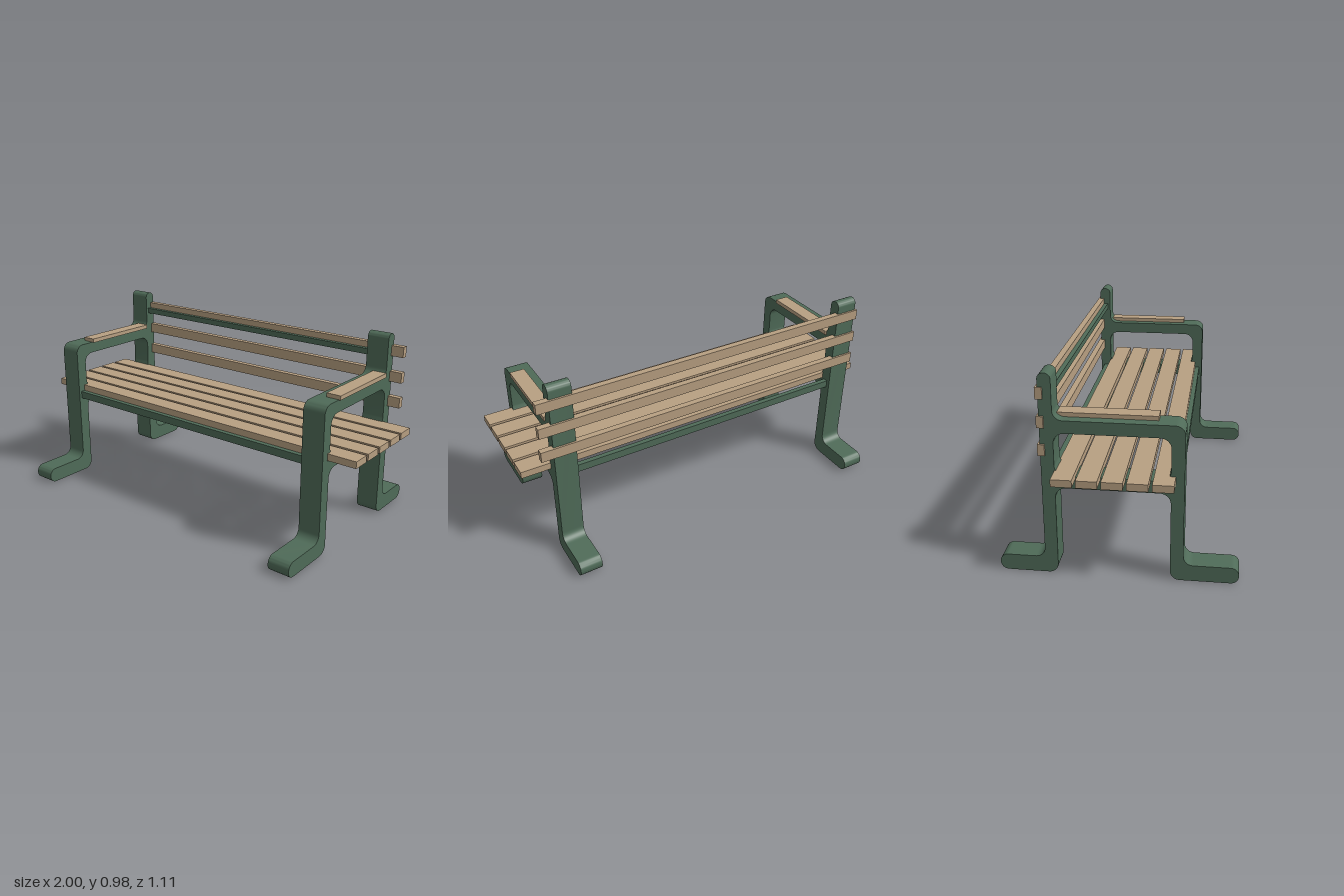
import * as THREE from 'three';
import { toCreasedNormals } from 'three/addons/utils/BufferGeometryUtils.js';

const iron = new THREE.MeshStandardMaterial({ color: 0x4f6b58 });
const wood = new THREE.MeshStandardMaterial({ color: 0xb8a082 });

// Closed path through corners [z, y, radius], each rounded by its radius
function roundedPath(path, corners) {
  const n = corners.length;
  const toward = (a, b) => {
    const d = Math.hypot(b[0] - a[0], b[1] - a[1]);
    return [a[0] + (b[0] - a[0]) / d * a[2], a[1] + (b[1] - a[1]) / d * a[2]];
  };
  const k = 0.5523;
  corners.forEach((c, i) => {
    const p = toward(c, corners[(i + n - 1) % n]);
    const q = toward(c, corners[(i + 1) % n]);
    if (i === 0) path.moveTo(...p);
    else path.lineTo(...p);
    path.bezierCurveTo(
      p[0] + (c[0] - p[0]) * k, p[1] + (c[1] - p[1]) * k,
      q[0] + (c[0] - q[0]) * k, q[1] + (c[1] - q[1]) * k, ...q);
  });
  path.closePath();
  return path;
}

// Cast side frame: feet, legs, seat bearer, armrest and back post in one piece
function sideFrameGeometry(width) {
  const outline = roundedPath(new THREE.Shape(), [
    [0.555, 0, 0.038], [0.555, 0.08, 0.038], [0.30, 0.08, 0.045],
    [0.30, 0.765, 0.045], [-0.28, 0.765, 0.045],
    [-0.28, 0.98, 0.028], [-0.34, 0.98, 0.028],
    [-0.34, 0.08, 0.045], [-0.555, 0.08, 0.038], [-0.555, 0, 0.038],
    [-0.28, 0, 0.045], [-0.28, 0.44, 0.05], [0.24, 0.44, 0.05], [0.24, 0, 0.045],
  ]);
  outline.holes.push(roundedPath(new THREE.Path(), [
    [-0.28, 0.50, 0.05], [0.24, 0.50, 0.05], [0.24, 0.705, 0.05], [-0.28, 0.705, 0.05],
  ]));
  const geo = new THREE.ExtrudeGeometry(outline, { depth: width, bevelEnabled: false, curveSegments: 8 });
  geo.translate(0, 0, -width / 2);
  geo.rotateY(-Math.PI / 2);
  return toCreasedNormals(geo, 0.6);
}

// Box given by its extents
function bar(name, material, [x0, x1], [y0, y1], [z0, z1]) {
  const mesh = new THREE.Mesh(new THREE.BoxGeometry(x1 - x0, y1 - y0, z1 - z0), material);
  mesh.position.set((x0 + x1) / 2, (y0 + y1) / 2, (z0 + z1) / 2);
  mesh.name = name;
  return mesh;
}

export function createModel() {
  const bench = new THREE.Group();
  bench.name = 'parkBench';

  // Side frames
  const frameGeo = sideFrameGeometry(0.115);
  for (const [name, x] of [['rightFrame', -0.8525], ['leftFrame', 0.7925]]) {
    const frame = new THREE.Mesh(frameGeo, iron);
    frame.position.x = x;
    frame.name = name;
    bench.add(frame);
  }

  // Rails joining the frames
  const span = [-0.8, 0.74];
  bench.add(
    bar('frontSeatRail', iron, span, [0.45, 0.49], [0.255, 0.285]),
    bar('rearSeatRail', iron, span, [0.45, 0.49], [-0.32, -0.295]),
    bar('backRail', iron, span, [0.855, 0.885], [-0.32, -0.295]));

  // Seat slats
  for (let i = 0; i < 5; i++) {
    const z = 0.2125 - i * 0.1113;
    bench.add(bar('seatSlat' + (i + 1), wood, [-1, 1], [0.49, 0.525], [z - 0.0475, z + 0.0475]));
  }

  // Back slats
  [0.625, 0.757, 0.89].forEach((y, i) =>
    bench.add(bar('backSlat' + (i + 1), wood, [-0.92, 0.915], [y - 0.027, y + 0.027], [-0.35, -0.318])));

  // Armrest pads
  bench.add(
    bar('rightArmPad', wood, [-0.86, -0.785], [0.763, 0.785], [-0.27, 0.18]),
    bar('leftArmPad', wood, [0.782, 0.857], [0.763, 0.785], [-0.27, 0.18]));

  return bench;
}
